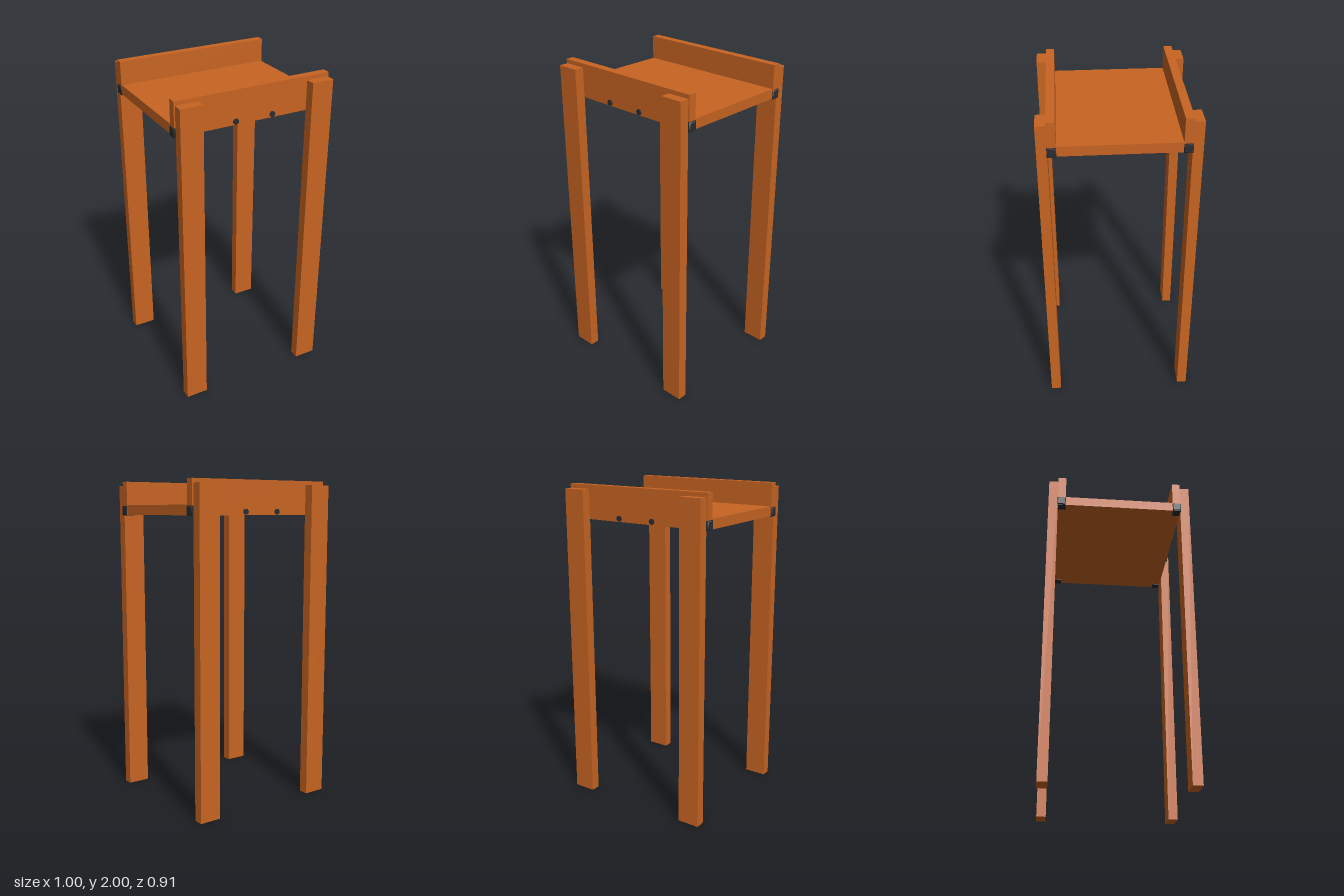
import * as THREE from 'three';

const wood = new THREE.MeshStandardMaterial({ color: 0xc86422 });
const dark = new THREE.MeshStandardMaterial({ color: 0x2a2c30 });

// Box given by its minimum and maximum corners
function box(name, min, max, material) {
  const size = max.map((v, i) => v - min[i]);
  const mesh = new THREE.Mesh(new THREE.BoxGeometry(...size), material);
  mesh.position.set(...max.map((v, i) => (v + min[i]) / 2));
  mesh.name = name;
  return mesh;
}

// Cube-shaped corner guard with a slightly tapered outer end
function cornerGuard(sx, sz) {
  const guard = new THREE.Group();
  guard.name = 'cornerGuard';
  const body = box('guardBody', [-0.027, -0.029, -0.026], [0.027, 0.029, 0.026], dark);
  body.position.set(sx * 0.468, 1.82, sz * 0.37);
  const cap = new THREE.Mesh(new THREE.CylinderGeometry(0.031, 0.037, 0.005, 4, 1), dark);
  cap.geometry.rotateY(Math.PI / 4).rotateZ(-sx * Math.PI / 2);
  cap.position.set(sx * 0.4975, 1.82, sz * 0.37);
  cap.name = 'guardCap';
  guard.add(body, cap);
  return guard;
}

export function createModel() {
  const model = new THREE.Group();
  model.name = 'stool';

  // Seat board between the rails
  model.add(box('seat', [-0.49, 1.795, -0.35], [0.49, 1.855, 0.35], wood));

  for (const sz of [-1, 1]) {
    // Raised rail along the front and back
    const rail = box('rail', [-0.493, 1.795, -0.025], [0.493, 2, 0.025], wood);
    rail.position.z = sz * 0.369;
    model.add(rail);

    for (const sx of [-1, 1]) {
      // Plank leg fixed to the outside of the rail
      const leg = box('leg', [-0.069, 0, -0.03], [0.069, 1.975, 0.03], wood);
      leg.position.x = sx * 0.416;
      leg.position.z = sz * 0.423;
      model.add(leg);

      // Bolt head on the rail
      const bolt = new THREE.Mesh(new THREE.CylinderGeometry(0.017, 0.017, 0.02, 12), dark);
      bolt.geometry.rotateX(Math.PI / 2);
      bolt.position.set(sx * 0.118, 1.815, sz * 0.392);
      bolt.name = 'bolt';
      model.add(bolt, cornerGuard(sx, sz));
    }
  }
  return model;
}
